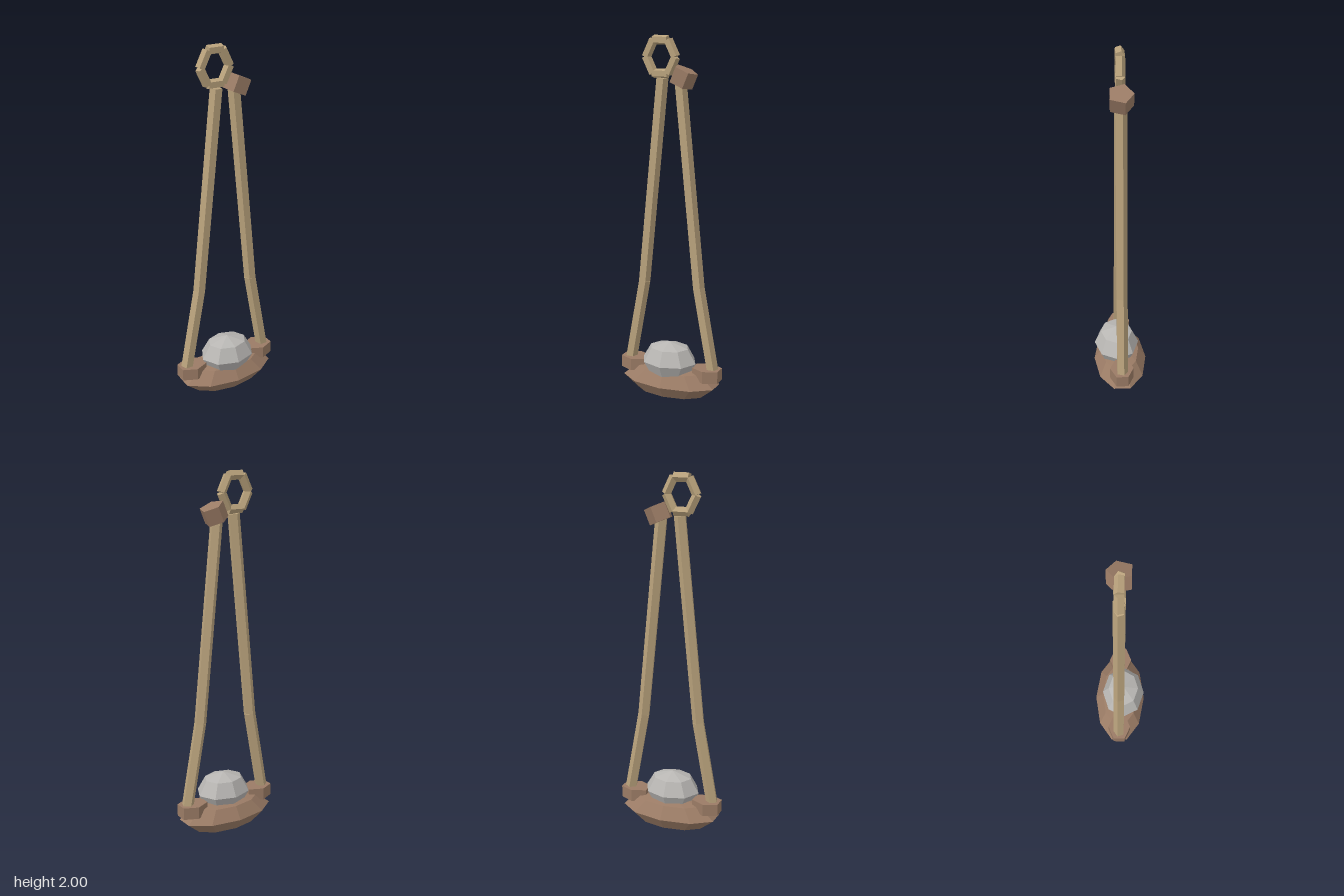
import * as THREE from 'three';

const mat = (color) => new THREE.MeshStandardMaterial({ color, flatShading: true, roughness: 0.9 });

export function createModel() {
  const model = new THREE.Group();
  const cordMat = mat(0xb9a27c), leatherMat = mat(0x9a7b65), stoneMat = mat(0xb8b6b3);

  const add = (name, geometry, material, parent = model) => {
    const mesh = new THREE.Mesh(geometry, material);
    mesh.name = name;
    parent.add(mesh);
    return mesh;
  };

  // five-sided rod between two points of the x-y plane, its ridge towards -z
  const rod = (name, [ax, ay], [bx, by], radius, parent) => {
    const g = new THREE.CylinderGeometry(radius, radius, Math.hypot(bx - ax, by - ay), 5);
    g.rotateY(Math.PI);
    const mesh = add(name, g, cordMat, parent);
    mesh.position.set((ax + bx) / 2, (ay + by) / 2, 0);
    mesh.rotation.z = Math.atan2(ax - bx, by - ay);
    return mesh;
  };

  // leather pouch: faceted ellipsoid with corners on the z axis
  const pouch = new THREE.SphereGeometry(1, 10, 4, Math.PI / 2);
  pouch.scale(0.29, 0.096, 0.152);
  add('pouch', pouch, leatherMat).position.set(0, 0.1, 0);

  // stone resting in the pouch
  const stone = new THREE.SphereGeometry(1, 8, 4);
  stone.scale(0.16, 0.113, 0.128);
  add('stone', stone, stoneMat).position.set(0, 0.22, 0.021);

  // cords bending outwards near the pouch, each tied with a six-sided knot
  for (const [side, label] of [[1, 'left'], [-1, 'right']]) {
    const cord = new THREE.Group();
    cord.name = label + 'Cord';
    model.add(cord);
    rod('lowerCord', [side * 0.256, 0.17], [side * 0.165, 0.66], 0.034, cord);
    rod('upperCord', [side * 0.165, 0.66], [side * 0.052, 1.78], 0.034, cord);

    const knot = new THREE.CylinderGeometry(1, 1, 0.068, 6);
    knot.scale(0.088, 1, 0.067);
    add(label + 'PouchKnot', knot, leatherMat).position.set(side * 0.22, 0.169, 0);
  }

  // finger loop: six rods around an upright oval
  const loop = new THREE.Group();
  loop.name = 'fingerLoop';
  loop.position.set(-0.06, 1.89, 0);
  model.add(loop);
  const corner = (i) => [0.085 * Math.cos(i * Math.PI / 3), 0.1 * Math.sin(i * Math.PI / 3)];
  for (let i = 0; i < 6; i++) rod('loopSegment', corner(i), corner(i + 1), 0.026, loop);

  // tilted release knot at the end of the left cord
  const release = new THREE.CylinderGeometry(0.067, 0.067, 0.085, 5);
  release.rotateY(Math.PI);
  const knot = add('releaseKnot', release, leatherMat);
  knot.position.set(0.07, 1.787, 0);
  knot.rotation.z = -0.41;

  return model;
}
